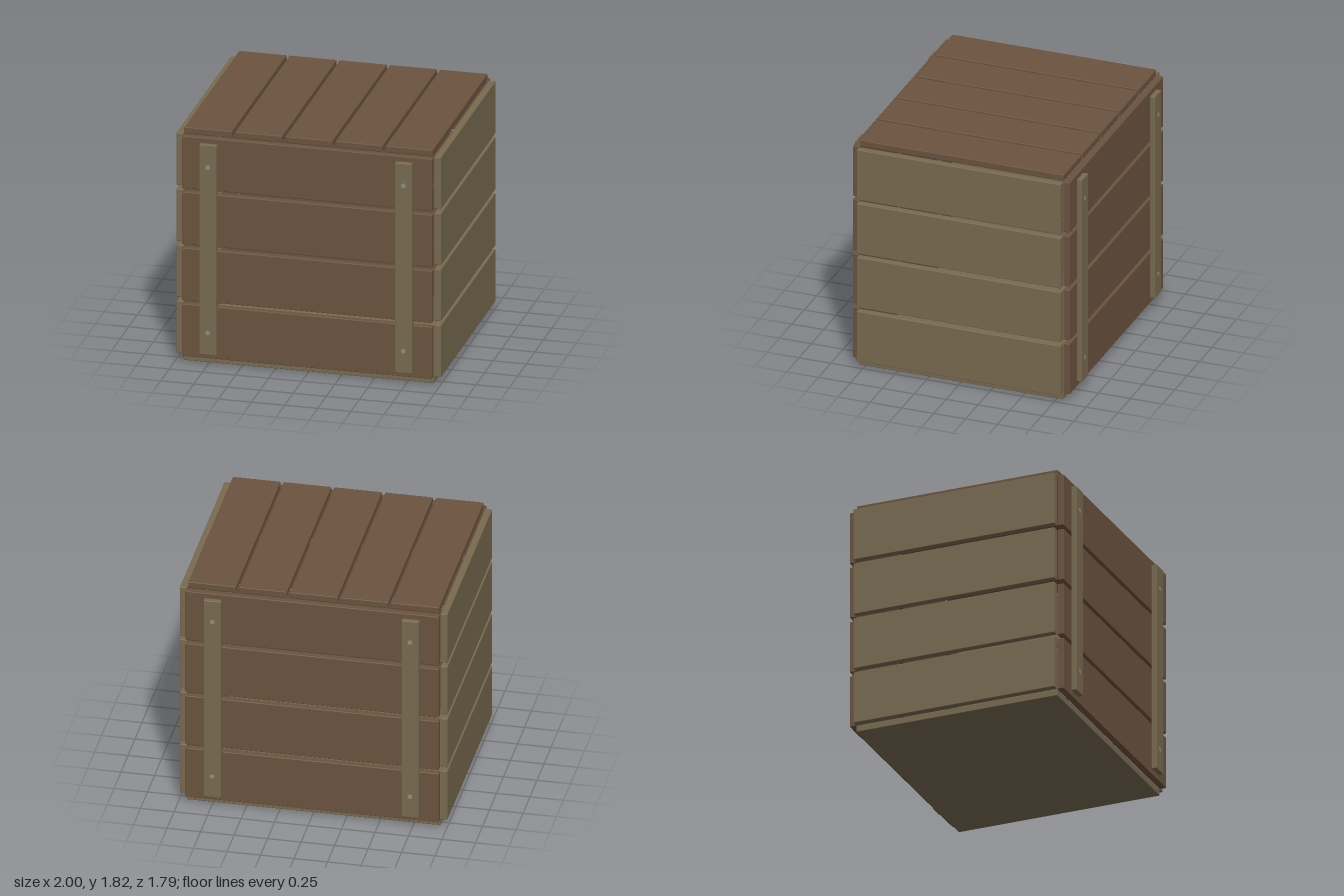
import * as THREE from 'three';
import { RoundedBoxGeometry } from 'three/addons/geometries/RoundedBoxGeometry.js';

const darkWood = new THREE.MeshStandardMaterial({ color: 0x6b533f });
const paleWood = new THREE.MeshStandardMaterial({ color: 0x786a50 });
const metal = new THREE.MeshStandardMaterial({ color: 0x8f8f86 });

// A board with slightly eased edges
function board(parent, name, size, position, material) {
  const mesh = new THREE.Mesh(new RoundedBoxGeometry(...size, 1, 0.006), material);
  mesh.name = name;
  mesh.position.set(...position);
  parent.add(mesh);
}

export function createModel() {
  const crate = new THREE.Group();
  crate.name = 'woodenCrate';

  // Floor slab
  board(crate, 'floor', [1.892, 0.052, 1.6], [0, 0.029, 0], paleWood);

  // Four courses of horizontal planks around the walls
  for (let i = 0; i < 4; i++) {
    const y = 0.258 + i * 0.4385;
    for (const s of [1, -1]) {
      board(crate, s > 0 ? 'frontPlank' : 'backPlank', [1.89, 0.408, 0.052], [0, y, s * 0.825], darkWood);
      board(crate, s > 0 ? 'leftPlank' : 'rightPlank', [0.054, 0.408, 1.6], [s * 0.972, y, 0], paleWood);
    }
  }

  // Five lid planks running front to back
  for (let i = -2; i <= 2; i++) {
    board(crate, 'lidPlank', [0.357, 0.05, 1.6], [i * 0.379, 1.803, 0], darkWood);
  }

  // Upright battens on front and back, each held by two nails
  const nailHead = new THREE.CylinderGeometry(0.018, 0.018, 0.01, 12).rotateX(Math.PI / 2);
  for (const sz of [1, -1]) {
    for (const sx of [1, -1]) {
      const batten = new THREE.Group();
      batten.name = sz > 0 ? 'frontBatten' : 'backBatten';
      board(batten, 'battenBoard', [0.13, 1.644, 0.042], [sx * 0.738, 0.917, sz * 0.87], paleWood);
      for (const y of [0.27, 1.565]) {
        const nail = new THREE.Mesh(nailHead, metal);
        nail.name = 'nail';
        nail.position.set(sx * 0.738, y, sz * 0.888);
        batten.add(nail);
      }
      crate.add(batten);
    }
  }
  return crate;
}
